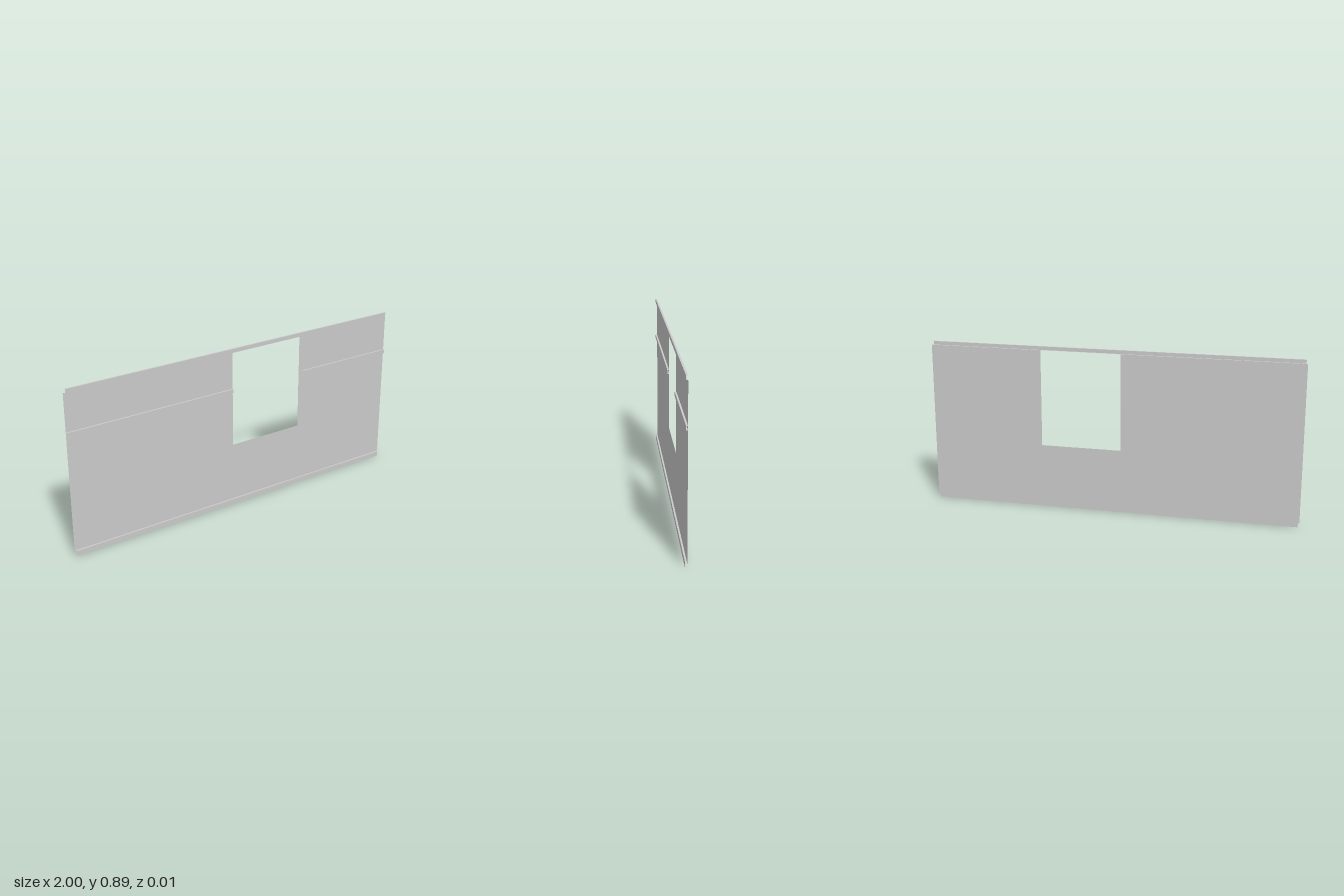
import * as THREE from 'three';

const material = new THREE.MeshStandardMaterial({ color: 0xcccccc, side: THREE.DoubleSide, flatShading: true });
const BACK = -0.0045, FRONT = 0.0045;

// Folded sheet: a [y, z] profile swept along x
function foldedStrip(name, x0, x1, profile) {
  const positions = [];
  for (let i = 0; i < profile.length - 1; i++) {
    const [ya, za] = profile[i], [yb, zb] = profile[i + 1];
    positions.push(x0, ya, za, x0, yb, zb, x1, yb, zb);
    positions.push(x0, ya, za, x1, yb, zb, x1, ya, za);
  }
  const geometry = new THREE.BufferGeometry();
  geometry.setAttribute('position', new THREE.Float32BufferAttribute(positions, 3));
  geometry.computeVertexNormals();
  const mesh = new THREE.Mesh(geometry, material);
  mesh.name = name;
  return mesh;
}

export function createModel() {
  const group = new THREE.Group();
  group.name = 'wallPanel';
  const bottom = 0.028, top = 0.872, height = 0.893;
  const holeLeft = -0.045, holeRight = 0.388, sill = 0.35;

  // Main sheet with the window cut down from its upper edge
  const outline = [[-1, bottom], [1, bottom], [1, top], [holeRight, top],
    [holeRight, sill], [holeLeft, sill], [holeLeft, top], [-1, top]];
  const sheet = new THREE.Mesh(
    new THREE.ShapeGeometry(new THREE.Shape(outline.map(([x, y]) => new THREE.Vector2(x, y)))), material);
  sheet.name = 'mainSheet';
  sheet.position.z = BACK;
  group.add(sheet);

  // Top channel: ledge forward, web up, lip back
  group.add(foldedStrip('topChannel', -0.992, 0.992,
    [[top, BACK], [top, FRONT], [height, FRONT], [height, BACK]]));

  // Bottom flange: ledge forward, then down
  group.add(foldedStrip('bottomFlange', -0.992, 0.992,
    [[bottom, BACK], [bottom, FRONT], [0, FRONT]]));

  // Shallow rails on the front, either side of the window
  const rail = [[0.671, BACK], [0.671, FRONT], [0.65, FRONT], [0.65, BACK]];
  group.add(foldedStrip('rightRail', -1, holeLeft, rail));
  group.add(foldedStrip('leftRail', 0.412, 1, rail));

  return group;
}
